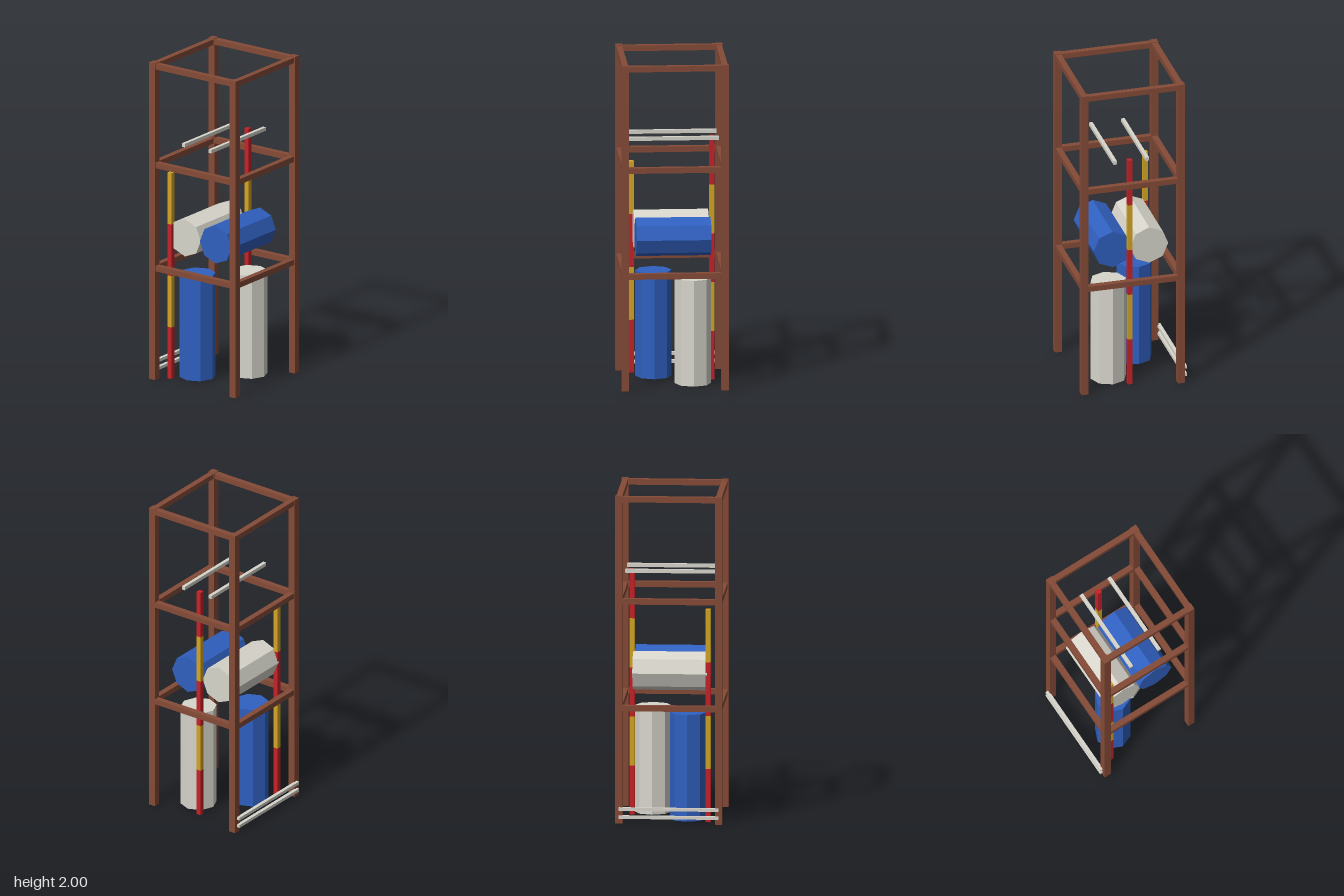
import * as THREE from 'three';

const mat = (name, color) => {
  const m = new THREE.MeshStandardMaterial({ color, flatShading: true });
  m.name = name;
  return m;
};

export function createModel() {
  const brown = mat('brown wood', 0x854b37);
  const blue = mat('blue', 0x3060c0);
  const pale = mat('pale grey', 0xd8d6cc);
  const red = mat('red', 0xc62228);
  const yellow = mat('yellow', 0xd4a524);

  const model = new THREE.Group();
  model.name = 'rack';

  const box = (name, material, size, pos, parent = model) => {
    const mesh = new THREE.Mesh(new THREE.BoxGeometry(...size), material);
    mesh.name = name;
    mesh.position.set(...pos);
    parent.add(mesh);
    return mesh;
  };

  // Timber frame: four posts and three rings of rails
  const frame = new THREE.Group();
  frame.name = 'frame';
  model.add(frame);
  const halfX = 0.3, zBack = -0.293, zFront = 0.308;
  const zMid = (zBack + zFront) / 2, depth = zFront - zBack;
  for (const x of [-halfX, halfX]) {
    for (const z of [zBack, zFront]) box('post', brown, [0.044, 2, 0.044], [x, 1, z], frame);
  }
  for (const y of [0.703, 1.355, 1.979]) {
    for (const x of [-halfX, halfX]) box('sideRail', brown, [0.036, 0.034, depth], [x, y, zMid], frame);
    for (const z of [zBack, zFront]) box('crossRail', brown, [halfX * 2, 0.034, 0.036], [0, y, z], frame);
  }

  // Thin pale bars: two hanging high up, two low across the back
  for (const z of [-0.093, 0.107]) box('hangingBar', pale, [0.552, 0.022, 0.022], [-0.001, 1.506, z]);
  for (const y of [0.042, 0.091]) box('backBar', pale, [0.6, 0.019, 0.022], [0, y, -0.322]);

  // Eight-sided drums, standing below and lying above
  const drum = (name, material, radius, length, pos, lying) => {
    const mesh = new THREE.Mesh(new THREE.CylinderGeometry(radius, radius, length, 8), material);
    mesh.name = name;
    mesh.position.set(...pos);
    if (lying) mesh.rotation.z = Math.PI / 2;
    model.add(mesh);
  };
  drum('standingBlueDrum', blue, 0.11, 0.65, [-0.104, 0.325, -0.114], false);
  drum('standingPaleDrum', pale, 0.11, 0.65, [0.12, 0.325, 0.108], false);
  drum('lyingBlueDrum', blue, 0.118, 0.45, [0, 0.903, 0.11], true);
  drum('lyingPaleDrum', pale, 0.118, 0.45, [0, 0.903, -0.119], true);

  // Banded poles, alternating red and yellow from the ground up
  const pole = (name, x, z, height, bands) => {
    const group = new THREE.Group();
    group.name = name;
    group.position.set(x, 0, z);
    model.add(group);
    const h = height / bands;
    for (let i = 0; i < bands; i++) {
      box('poleBand', i % 2 ? yellow : red, [0.03, h, 0.03], [0, h * (i + 0.5), 0], group);
    }
  };
  pole('shortPole', -0.232, -0.218, 1.3, 4);
  pole('tallPole', 0.239, 0.008, 1.5, 5);

  return model;
}
